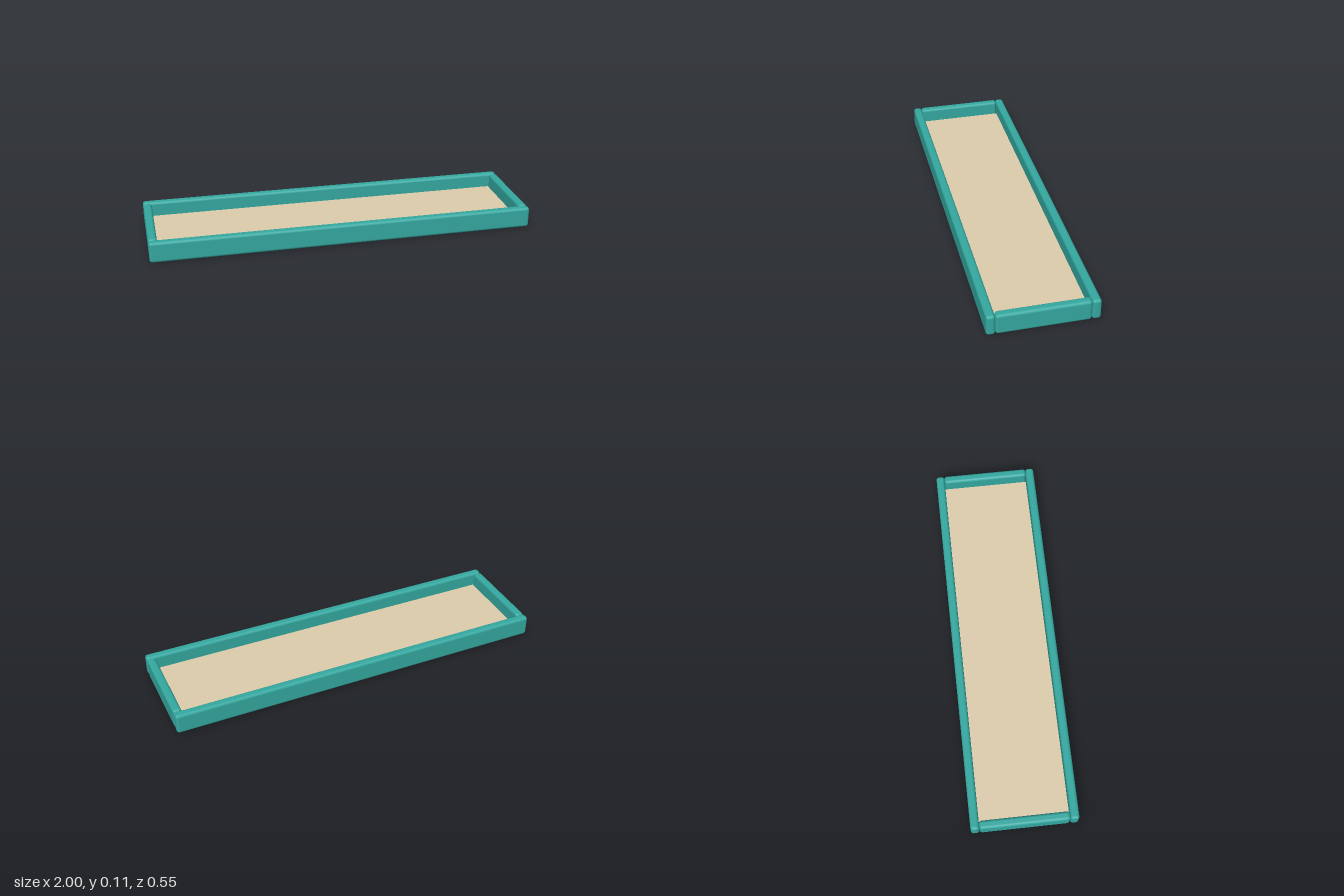
import * as THREE from 'three';
import { RoundedBoxGeometry } from 'three/addons/geometries/RoundedBoxGeometry.js';

const LENGTH = 2, DEPTH = 0.55, HEIGHT = 0.11;
const RAIL = 0.045, RADIUS = 0.015;
const LINING = 0.002, FLOOR_TOP = 0.034;

function material(name, color) {
  const m = new THREE.MeshStandardMaterial({ color });
  m.name = name;
  return m;
}

export function createModel() {
  const group = new THREE.Group();
  group.name = 'tray';
  const teal = material('teal', 0x34a8a0);
  const tan = material('tan', 0xdecdad);
  const brown = material('brown', 0xa87547);

  function add(name, geometry, mat, x, y, z) {
    const mesh = new THREE.Mesh(geometry, mat);
    mesh.name = name;
    mesh.position.set(x, y, z);
    group.add(mesh);
  }

  const innerLength = LENGTH - 2 * RAIL;
  const innerDepth = DEPTH - 2 * RAIL;

  // Long rails run full length; end rails fit between them
  const longRail = new RoundedBoxGeometry(LENGTH, HEIGHT, RAIL, 4, RADIUS);
  const endRail = new RoundedBoxGeometry(RAIL, HEIGHT, innerDepth, 4, RADIUS);
  for (const s of [1, -1]) {
    add(s > 0 ? 'frontRail' : 'backRail', longRail, teal, 0, HEIGHT / 2, s * (DEPTH - RAIL) / 2);
    add(s > 0 ? 'leftRail' : 'rightRail', endRail, teal, s * (LENGTH - RAIL) / 2, HEIGHT / 2, 0);
  }

  // Floor panel
  add('floor', new THREE.BoxGeometry(innerLength, FLOOR_TOP - LINING, innerDepth), tan,
    0, (FLOOR_TOP + LINING) / 2, 0);

  // Thin base lining, slightly inset under the floor
  add('baseLining', new THREE.BoxGeometry(innerLength - 0.01, LINING, innerDepth - 0.01), brown,
    0, LINING / 2, 0);

  return group;
}
